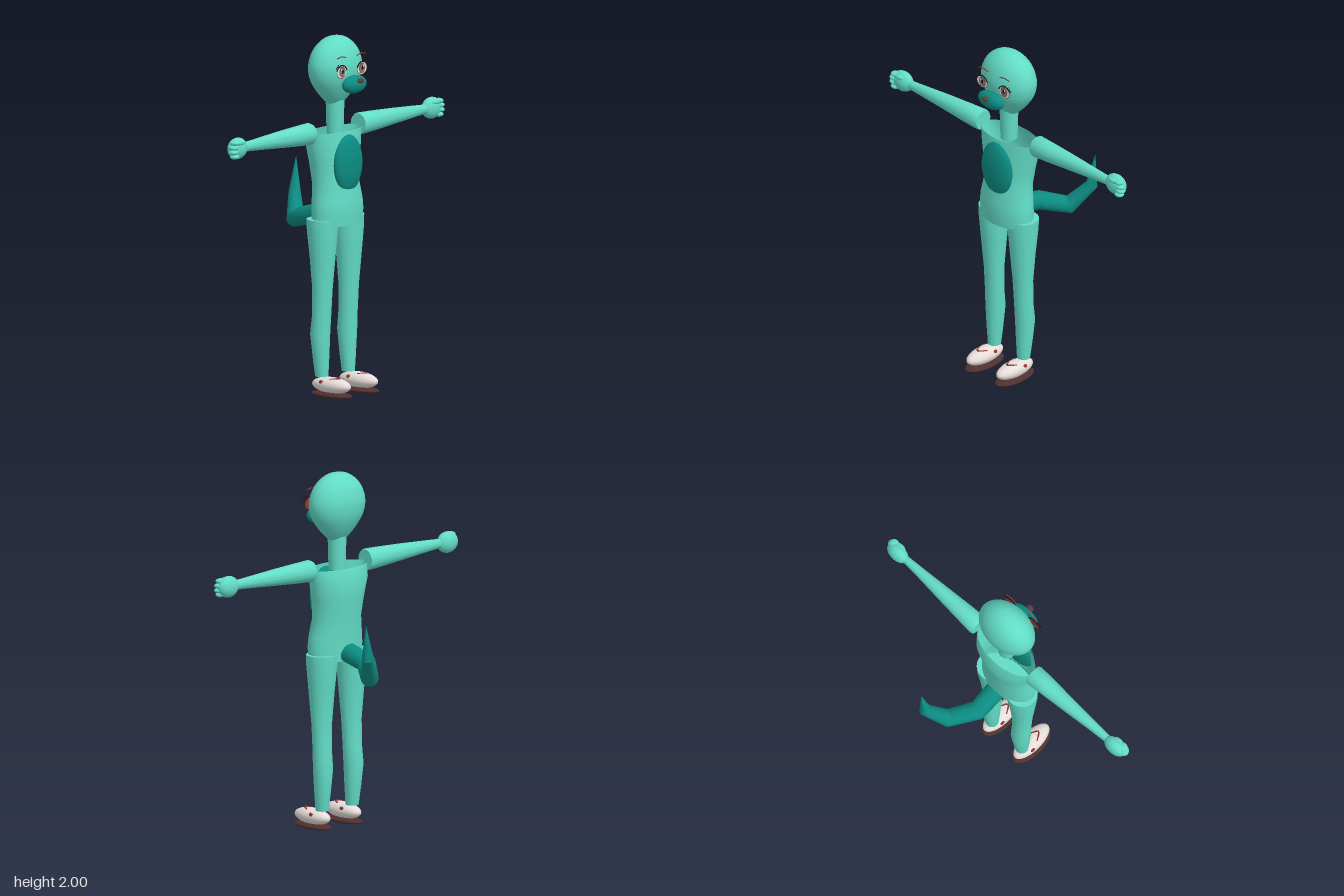
import * as THREE from 'three';
import { toCreasedNormals } from 'three/addons/utils/BufferGeometryUtils.js';

const mat = (name, color, double) => {
  const m = new THREE.MeshStandardMaterial({ color });
  m.name = name;
  if (double) m.side = THREE.DoubleSide;
  return m;
};
const V = (x, y, z) => new THREE.Vector3(x, y, z);

// Skin through elliptical rings [x, y, z, radiusU, radiusV]; frame(i) gives the ring direction and its u axis
function loft(rings, frame, seg = 32, caps = true, crease = 0.7) {
  const pos = [], idx = [];
  rings.forEach(([x, y, z, ru, rv], i) => {
    const [d, u] = frame(i), v = d.clone().cross(u);
    for (let j = 0; j < seg; j++) {
      const a = (j / seg) * Math.PI * 2;
      const p = V(x, y, z).addScaledVector(u, ru * Math.cos(a)).addScaledVector(v, rv * Math.sin(a));
      pos.push(p.x, p.y, p.z);
    }
  });
  const at = (i, j) => i * seg + (j % seg);
  for (let i = 0; i < rings.length - 1; i++)
    for (let j = 0; j < seg; j++) {
      const a = at(i, j), b = at(i, j + 1), c = at(i + 1, j), d = at(i + 1, j + 1);
      idx.push(a, b, c, b, d, c);
    }
  const last = rings.length - 1;
  if (caps)
    for (let j = 1; j < seg - 1; j++) {
      idx.push(at(0, 0), at(0, j + 1), at(0, j));
      idx.push(at(last, 0), at(last, j), at(last, j + 1));
    }
  const g = new THREE.BufferGeometry();
  g.setAttribute('position', new THREE.Float32BufferAttribute(pos, 3));
  g.setIndex(idx);
  return toCreasedNormals(g, crease);
}

export function createModel() {
  const root = new THREE.Group();
  root.name = 'figure';
  const body = mat('mint body', 0x62dcc6);
  const shell = body.clone();
  shell.side = THREE.DoubleSide;
  const teal = mat('dark teal', 0x0c8c82);
  const shoeMat = mat('shoe white', 0xe6dcd9);
  const soleMat = mat('sole brown', 0x4f302e);
  const red = mat('russet trim', 0x8e3b3b, true);
  const noseMat = mat('nose brown', 0x6b3b35);
  const white = mat('eye white', 0xf2e9e8, true);
  const irisMat = mat('iris grey', 0x6f8580, true);
  const black = mat('lash black', 0x1c1616, true);

  const add = (name, geo, material, parent = root) => {
    const m = new THREE.Mesh(geo, material);
    m.name = name;
    parent.add(m);
    return m;
  };
  const ball = (name, material, p, r, parent) => {
    const m = add(name, new THREE.SphereGeometry(1, 32, 20), material, parent);
    m.position.set(...p);
    m.scale.set(...r);
    return m;
  };
  const upright = () => [V(0, 1, 0), V(0, 0, 1)];

  // Egg-shaped head, flattened front to back
  const profile = new THREE.SplineCurve([
    [0, 1.607], [0.045, 1.62], [0.085, 1.652], [0.128, 1.7], [0.164, 1.756], [0.179, 1.815],
    [0.174, 1.865], [0.152, 1.917], [0.113, 1.96], [0.06, 1.99], [0, 2],
  ].map((p) => new THREE.Vector2(...p))).getPoints(36);
  profile.forEach((p) => (p.x = Math.max(p.x, 0)));
  const head = add('head', new THREE.LatheGeometry(profile, 40), body);
  head.scale.z = 0.68;
  head.position.z = 0.135;

  const neck = add('neck', new THREE.CylinderGeometry(0.052, 0.047, 0.19, 32, 1, true), shell);
  neck.position.set(0, 1.55, 0.135);

  // Torso, open at the shoulders
  add('torso', loft([
    [0, 0.955, 0.15, 0.105, 0.174], [0, 1.03, 0.152, 0.11, 0.178], [0, 1.09, 0.15, 0.11, 0.172],
    [0, 1.19, 0.138, 0.107, 0.154], [0, 1.3, 0.13, 0.11, 0.17], [0, 1.4, 0.123, 0.114, 0.192],
    [0, 1.475, 0.13, 0.097, 0.2],
  ], upright, 40, false), shell);
  ball('pelvisBase', body, [0, 0.957, 0.15], [0.172, 0.003, 0.103]);
  ball('bellyPatch', teal, [0, 1.295, 0.228], [0.111, 0.162, 0.044]);

  // Muzzle and nose
  ball('muzzle', teal, [0, 1.742, 0.274], [0.092, 0.05, 0.042]);
  ball('nose', noseMat, [0, 1.767, 0.32], [0.022, 0.014, 0.015]);

  // Tail: bent segments tapering to a point
  const tail = [
    [0, 1.0, 0.04, 0.058, 0.055], [0, 0.965, -0.1, 0.055, 0.053], [0.1, 0.922, -0.235, 0.05, 0.052],
    [0.19, 1.05, -0.318, 0.034, 0.034], [0.21, 1.24, -0.325, 0.001, 0.001],
  ];
  const pt = (i) => V(...tail[Math.min(Math.max(i, 0), tail.length - 1)].slice(0, 3));
  const side = V(0.8, 0, 0.6);
  add('tail', loft(tail, (i) => {
    const d = pt(i + 1).sub(pt(i - 1)).normalize();
    const r = i ? side : V(1, 0, 0);
    return [d, r.clone().addScaledVector(d, -r.dot(d)).normalize()];
  }, 20, true, 0.6), teal);

  const line = (name, pts, r, material, parent) => add(name,
    new THREE.TubeGeometry(new THREE.CatmullRomCurve3(pts.map((p) => V(...p))), 14, r, 6), material, parent);

  for (const s of [1, -1]) {
    const tag = s > 0 ? 'left' : 'right';
    const group = (name) => {
      const g = new THREE.Group();
      g.name = tag + name;
      root.add(g);
      return g;
    };

    // Leg
    add(tag + 'Leg', loft([
      [0.112, 0.115, 0.135, 0.037, 0.036], [0.113, 0.22, 0.13, 0.046, 0.046], [0.114, 0.35, 0.125, 0.055, 0.056],
      [0.112, 0.45, 0.133, 0.052, 0.055], [0.111, 0.6, 0.139, 0.054, 0.059], [0.111, 0.78, 0.14, 0.07, 0.073],
      [0.111, 0.93, 0.138, 0.085, 0.086], [0.111, 0.992, 0.137, 0.086, 0.088],
    ].map(([x, ...r]) => [x * s, ...r]), upright), body);

    // Shoe with sole, lace and side studs
    const shoe = group('Shoe');
    const x = 0.115 * s;
    ball('upper', shoeMat, [x, 0.073, 0.208], [0.056, 0.045, 0.132], shoe);
    ball('sole', soleMat, [x, 0.021, 0.209], [0.065, 0.019, 0.138], shoe);
    line('lace', [[x - 0.03, 0.108, 0.22], [x, 0.116, 0.265], [x + 0.03, 0.108, 0.22]], 0.005, red, shoe);
    for (const k of [-1, 1])
      ball('stud', red, [x + k * 0.046, 0.092, 0.172], [0.008, 0.011, 0.014], shoe);

    // Arm with a rounded shoulder end
    const arm = [
      [0.204, 1.477, 0.128, 0.056, 0.054], [0.215, 1.477, 0.128, 0.061, 0.059], [0.32, 1.478, 0.129, 0.056, 0.053],
      [0.48, 1.48, 0.13, 0.046, 0.041], [0.65, 1.481, 0.132, 0.034, 0.028], [0.78, 1.481, 0.133, 0.025, 0.02],
    ].map(([ax, ...r]) => [ax * s, ...r]);
    add(tag + 'Arm', loft(arm, () => [V(s, 0, 0), V(0, 1, 0)]), body);

    // Hand with curled fingers
    const hand = group('Hand');
    ball('palm', body, [0.82 * s, 1.481, 0.13], [0.07, 0.06, 0.042], hand);
    [1.517, 1.492, 1.466, 1.441].forEach((y, i) =>
      ball('finger', body, [(i % 3 ? 0.872 : 0.862) * s, y, 0.147], [0.028, 0.0145, 0.026], hand));
    ball('thumb', body, [0.825 * s, 1.515, 0.155], [0.035, 0.016, 0.018], hand);

    // Flat eye layers
    const eye = group('Eye');
    const disc = (name, material, dx, y, z, rx, ry) => {
      const m = add(name, new THREE.CircleGeometry(1, 28), material, eye);
      m.position.set((0.086 + dx) * s, y, z);
      m.scale.set(rx, ry, 1);
    };
    disc('eyeRim', red, 0, 1.818, 0.2555, 0.041, 0.036);
    disc('eyeWhite', white, 0, 1.819, 0.257, 0.039, 0.033);
    disc('irisRing', red, -0.003, 1.82, 0.2585, 0.025, 0.03);
    disc('iris', irisMat, -0.003, 1.819, 0.26, 0.02, 0.025);
    disc('pupil', black, -0.003, 1.822, 0.2615, 0.009, 0.013);
    disc('glint', white, 0.006, 1.832, 0.263, 0.006, 0.007);

    // Lashes and brow
    line('upperLash', [[0.043 * s, 1.826, 0.258], [0.062 * s, 1.848, 0.258], [0.088 * s, 1.856, 0.258],
      [0.113 * s, 1.846, 0.258], [0.13 * s, 1.828, 0.258]], 0.0035, black, eye);
    for (const [a, b] of [[0.105, 1.85], [0.115, 1.843], [0.122, 1.835]])
      line('lash', [[a * s, b, 0.258], [(a + 0.009) * s, b + 0.004, 0.26], [(a + 0.016) * s, b + 0.014, 0.262]],
        0.002, black, eye);
    line('brow', [[0.045 * s, 1.893, 0.252], [0.08 * s, 1.903, 0.254], [0.118 * s, 1.896, 0.252]], 0.003, red, eye);
  }
  return root;
}
